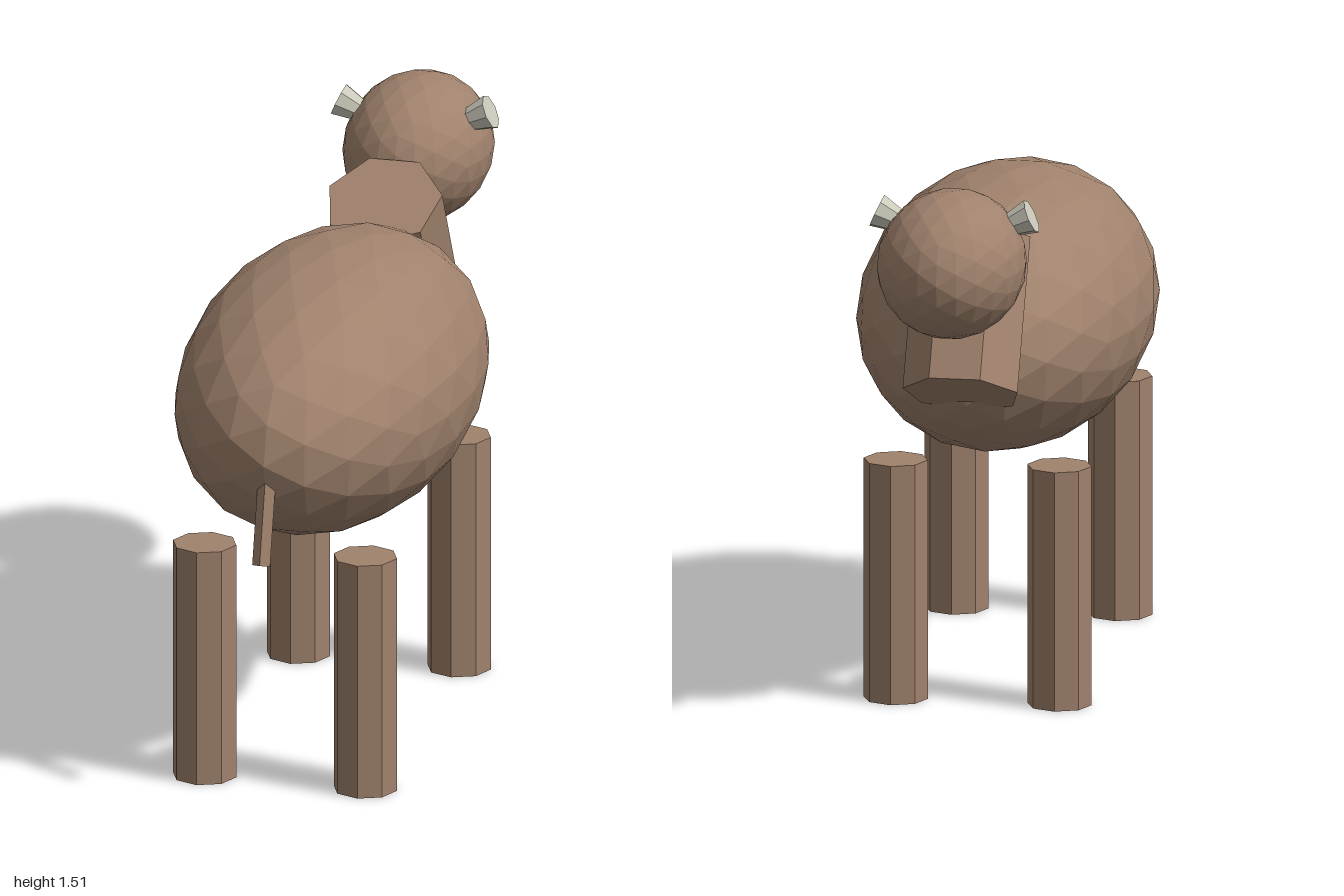
import * as THREE from 'three';

export function createModel() {
  const group = new THREE.Group();
  const hide = new THREE.MeshStandardMaterial({ color: 0xa0826d, flatShading: true });
  hide.name = 'brown hide';
  const horn = new THREE.MeshStandardMaterial({ color: 0xcccabb, flatShading: true });
  horn.name = 'pale horn';

  const add = (name, geometry, material, x, y, z) => {
    const mesh = new THREE.Mesh(geometry, material);
    mesh.name = name;
    mesh.position.set(x, y, z);
    group.add(mesh);
    return mesh;
  };
  // Faceted ellipsoid with the given half sizes
  const ellipsoid = (rx, ry, rz) => new THREE.IcosahedronGeometry(1, 3).scale(rx, ry, rz);

  // Body and head (the animal looks towards -z)
  add('body', ellipsoid(0.395, 0.367, 0.743), hide, 0, 0.972, 0.21);
  add('head', ellipsoid(0.2, 0.2, 0.267), hide, 0, 1.315, -0.733);

  // Neck, leaning back at the top
  const neck = add('neck', new THREE.CylinderGeometry(0.16, 0.16, 0.436, 7), hide, 0, 1.102, -0.456);
  neck.rotation.x = Math.PI / 6;

  // Tail, hanging down and away from the rump
  const tail = add('tail', new THREE.CylinderGeometry(0.026, 0.026, 0.3, 5), hide, 0, 0.843, 0.932);
  tail.rotation.x = -0.27;

  for (const side of [1, -1]) {
    const label = side > 0 ? 'left' : 'right';
    // Legs
    const legGeometry = new THREE.CylinderGeometry(0.0875, 0.0875, 0.66, 8);
    add(label + 'FrontLeg', legGeometry, hide, side * 0.2225, 0.33, -0.3);
    add(label + 'RearLeg', legGeometry, hide, side * 0.2225, 0.33, 0.72);

    // Flared horn stubs pointing out and up
    const tilt = 0.43;
    const length = 0.09;
    const stub = add(label + 'Horn', new THREE.CylinderGeometry(0.048, 0.026, length, 8), horn,
      side * (0.21 - Math.cos(tilt) * length / 2), 1.444 - Math.sin(tilt) * length / 2, -0.692);
    stub.rotation.z = -side * (Math.PI / 2 - tilt);
  }
  return group;
}
